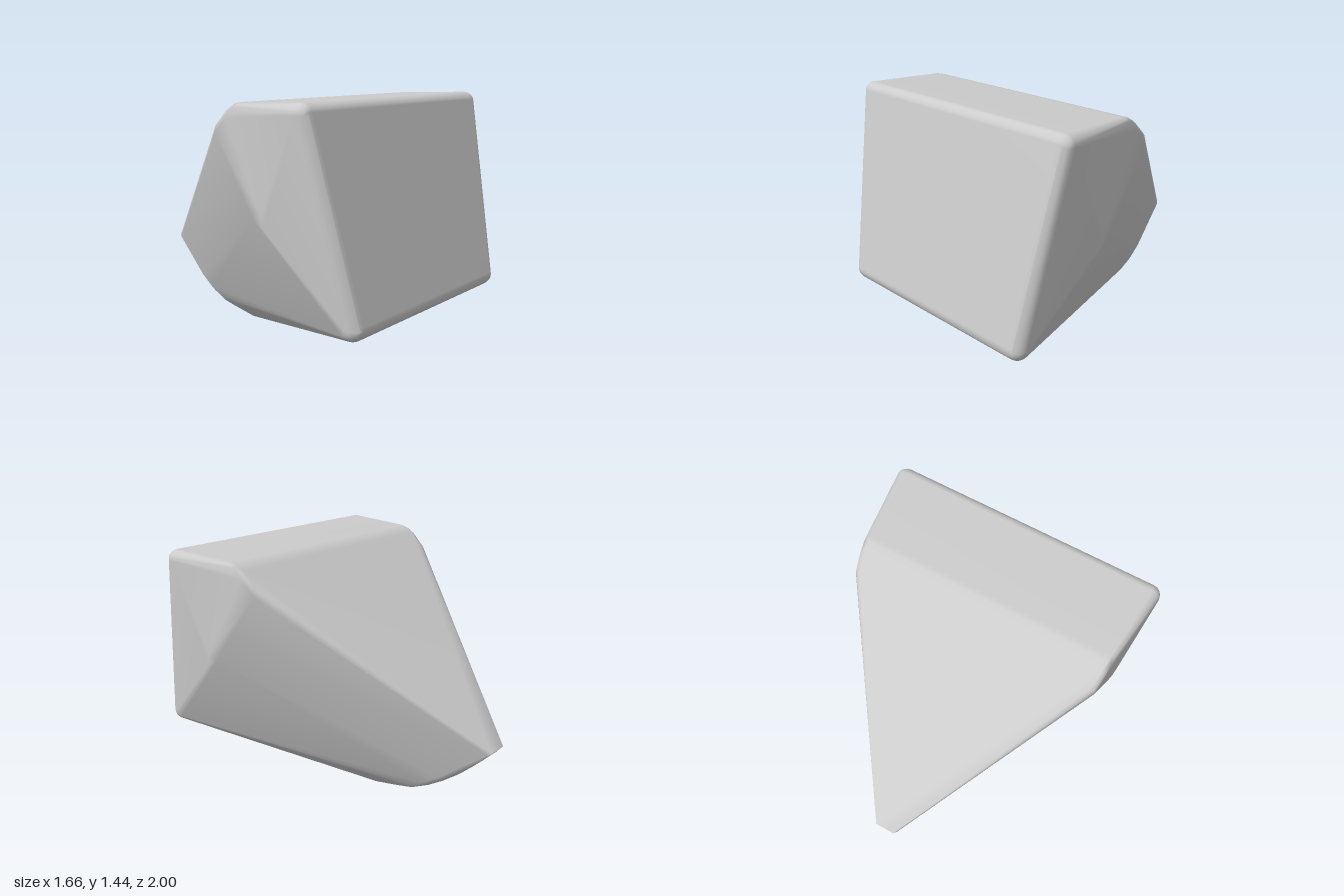
import * as THREE from 'three';
import { ConvexGeometry } from 'three/addons/geometries/ConvexGeometry.js';
import { mergeVertices } from 'three/addons/utils/BufferGeometryUtils.js';

export function createModel() {
  const group = new THREE.Group();
  const points = [];
  // adds a point and its mirror image
  const pair = (x, y, z) => points.push(new THREE.Vector3(x, y, z), new THREE.Vector3(-x, y, z));
  // adds a rounded corner on both sides
  const corner = (x, y, z, r) => {
    const ball = new THREE.SphereGeometry(r, 16, 12).getAttribute('position');
    for (let i = 0; i < ball.count; i++) pair(x + ball.getX(i), y + ball.getY(i), z + ball.getZ(i));
  };

  // front face: upper and lower corners
  corner(0.77, 1.38, 0.71, 0.06);
  corner(0.652, 0.35, 0.932, 0.068);

  // soft bend from the top into the long back slope
  for (const [y, z, x] of [[1.425, 0.27, 0.775], [1.415, 0.23, 0.772], [1.39, 0.185, 0.768], [1.31, 0.095, 0.757]]) {
    pair(x - 0.03, y, z);
    pair(x - 0.008, y - 0.012, z);
    pair(x, y - 0.05, z);
  }

  // slight bulge in the middle of each side
  pair(0.8, 0.87, 0.46);
  pair(0.795, 0.8, 0.47);
  pair(0.792, 0.84, 0.4);

  // narrow keel curving up to the back tip: z, y, half width
  const keel = [
    [-0.2, 0.003, 0.09], [-0.24, 0.001, 0.09], [-0.3, 0.013, 0.09], [-0.4, 0.033, 0.09], [-0.5, 0.056, 0.09],
    [-0.6, 0.103, 0.085], [-0.7, 0.165, 0.08], [-0.8, 0.238, 0.07], [-0.9, 0.327, 0.06], [-0.96, 0.385, 0.055],
  ];
  for (const [z, y, w] of keel) {
    const k = Math.min(1, (z + 1.05) / 0.4);
    pair(w, y, z);
    pair(w + 0.035 * k, y + 0.014, z);
    pair(w + 0.06 * k, y + 0.042, z);
  }
  pair(0.06, 0.43, -1);
  pair(0.075, 0.42, -0.98);

  let geometry = new ConvexGeometry(points);
  geometry.deleteAttribute('normal');
  geometry = mergeVertices(geometry, 1e-4);
  geometry.computeVertexNormals();

  const body = new THREE.Mesh(geometry, new THREE.MeshStandardMaterial({ color: 0xcccccc }));
  body.name = 'roundedWedgeBody';
  group.add(body);
  return group;
}
